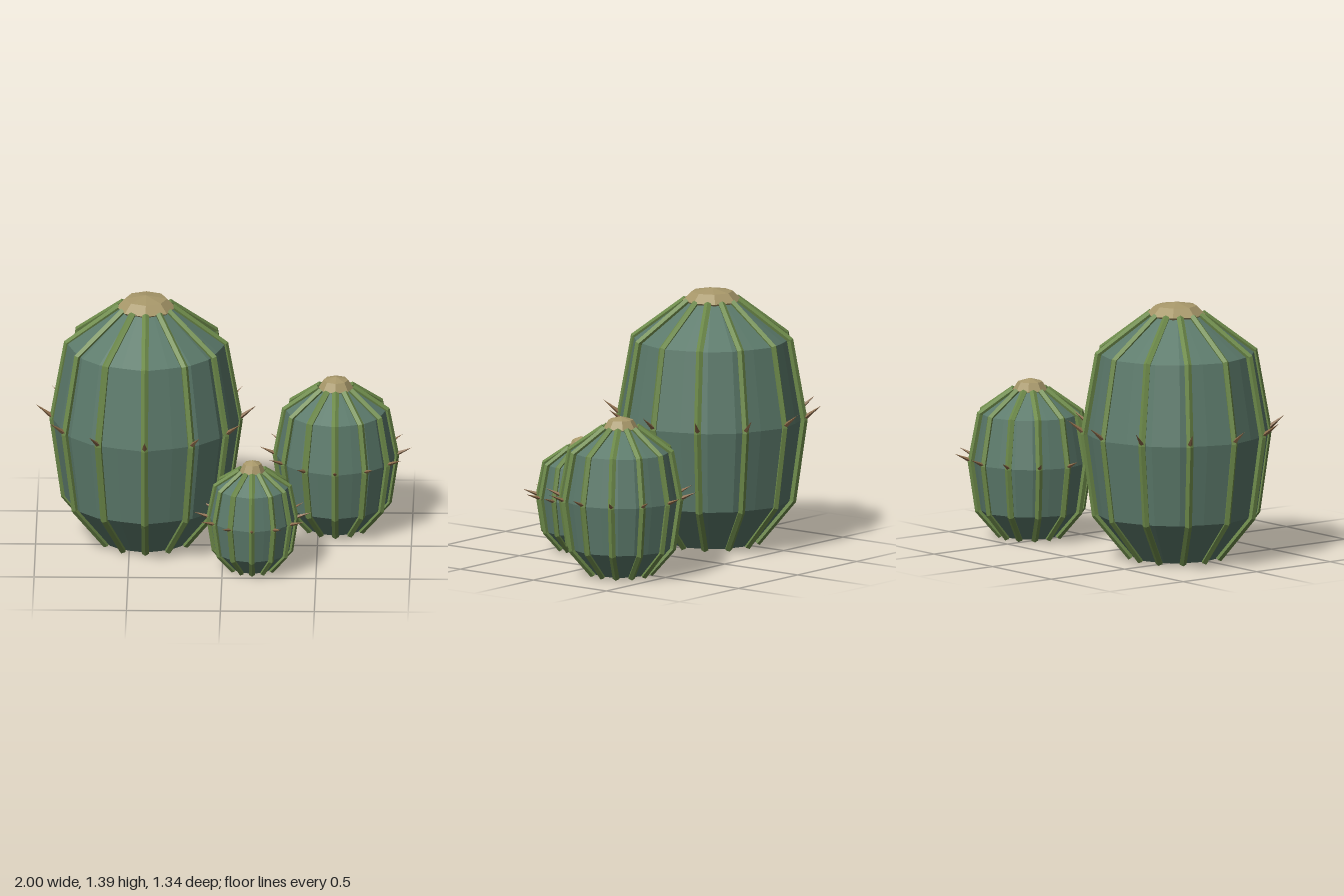
import * as THREE from 'three';

const mat = (name, color) => {
  const m = new THREE.MeshStandardMaterial({ color });
  m.name = name;
  return m;
};

// Faceted normals for the low-poly look
function faceted(geometry) {
  const g = geometry.index ? geometry.toNonIndexed() : geometry;
  g.computeVertexNormals();
  return g;
}

function mesh(name, geometry, material) {
  const m = new THREE.Mesh(geometry, material);
  m.name = name;
  return m;
}

const RIBS = 12;
// Barrel profile as [fraction of radius, fraction of height]
const PROFILE = [[0.48, 0], [0.875, 0.178], [1, 0.512], [0.845, 0.84], [0.27, 1]];

// Fluted barrel, closed at both ends
function bodyGeometry(points) {
  const top = points[points.length - 1];
  const outline = [new THREE.Vector2(0, points[0].y), ...points, new THREE.Vector2(0, top.y)];
  const g = new THREE.LatheGeometry(outline, 20);
  const p = g.attributes.position;
  for (let i = 0; i < p.count; i++) {
    const angle = Math.atan2(p.getX(i), p.getZ(i));
    const k = 1 + 0.025 * Math.cos(RIBS * angle);
    p.setXYZ(i, p.getX(i) * k, p.getY(i), p.getZ(i) * k);
  }
  return faceted(g);
}

// Five-sided bar bent along the barrel profile, with mitred joints
function ribGeometry(points, thickness) {
  const rows = points.length - 1;
  const g = new THREE.CylinderGeometry(thickness, thickness, 1, 5, rows, false, Math.PI / 2);
  const p = g.attributes.position;
  const normals = points.map((pt, i) => {
    const t = new THREE.Vector2();
    if (i > 0) t.add(pt.clone().sub(points[i - 1]).normalize());
    if (i < rows) t.add(points[i + 1].clone().sub(pt).normalize());
    t.normalize();
    return new THREE.Vector2(t.y, -t.x);
  });
  for (let i = 0; i < p.count; i++) {
    const row = Math.round((p.getY(i) + 0.5) * rows);
    const x = p.getX(i);
    p.setXY(i, points[row].x + 0.008 + normals[row].x * x, points[row].y + normals[row].y * x);
  }
  return faceted(g);
}

// Thin cone pointing outward and up
function spineGeometry(base, tip, radius) {
  const dir = tip.clone().sub(base);
  const g = new THREE.ConeGeometry(radius, dir.length(), 4);
  g.translate(0, dir.length() / 2, 0);
  g.applyQuaternion(new THREE.Quaternion().setFromUnitVectors(
    new THREE.Vector3(0, 1, 0), dir.clone().normalize()));
  g.translate(base.x, base.y, base.z);
  return faceted(g);
}

function cactus(name, s, mats) {
  const group = new THREE.Group();
  group.name = name;
  group.position.set(s.x, 0, s.z);

  const points = PROFILE.map(([r, h]) =>
    new THREE.Vector2(r * s.radius, s.bottom + h * (s.top - s.bottom)));
  group.add(mesh('body', bodyGeometry(points), mats.body));

  // Ribs, each carrying one spine at the widest point
  const rib = ribGeometry(points, s.rib);
  const spine = spineGeometry(
    new THREE.Vector3(s.radius, s.spineY, 0),
    new THREE.Vector3(s.tipR, s.tipY, 0), s.spine);
  for (let i = 0; i < RIBS; i++) {
    const r = mesh('rib', rib, mats.rib);
    const t = mesh('spine', spine, mats.spine);
    r.rotation.y = t.rotation.y = (i / RIBS) * Math.PI * 2;
    group.add(r, t);
  }

  // Woolly crown
  const crownGeometry = new THREE.SphereGeometry(s.crown, 8, 4);
  crownGeometry.scale(1, s.crownH / s.crown, 1);
  const crown = mesh('crown', faceted(crownGeometry), mats.crown);
  crown.position.y = s.crownY;
  group.add(crown);
  return group;
}

export function createModel() {
  const mats = {
    body: mat('cactusGreen', 0x5c7a6b),
    rib: mat('ribGreen', 0x6d8a4a),
    spine: mat('spineBrown', 0x8b6b4a),
    crown: mat('crownTan', 0xa8986a),
  };
  const model = new THREE.Group();
  model.name = 'barrelCacti';
  model.add(
    cactus('largeCactus', {
      x: -0.413, z: -0.08, radius: 0.487, bottom: 0.017, top: 1.325, rib: 0.02,
      spineY: 0.69, tipR: 0.587, tipY: 0.767, spine: 0.016,
      crown: 0.158, crownH: 0.065, crownY: 1.325,
    }, mats),
    cactus('mediumCactus', {
      x: 0.594, z: -0.27, radius: 0.31, bottom: 0.015, top: 0.8, rib: 0.019,
      spineY: 0.42, tipR: 0.406, tipY: 0.462, spine: 0.014,
      crown: 0.093, crownH: 0.063, crownY: 0.8,
    }, mats),
    cactus('smallCactus', {
      x: 0.16, z: 0.352, radius: 0.222, bottom: 0.013, top: 0.557, rib: 0.016,
      spineY: 0.293, tipR: 0.314, tipY: 0.323, spine: 0.013,
      crown: 0.067, crownH: 0.063, crownY: 0.555,
    }, mats),
  );
  return model;
}
